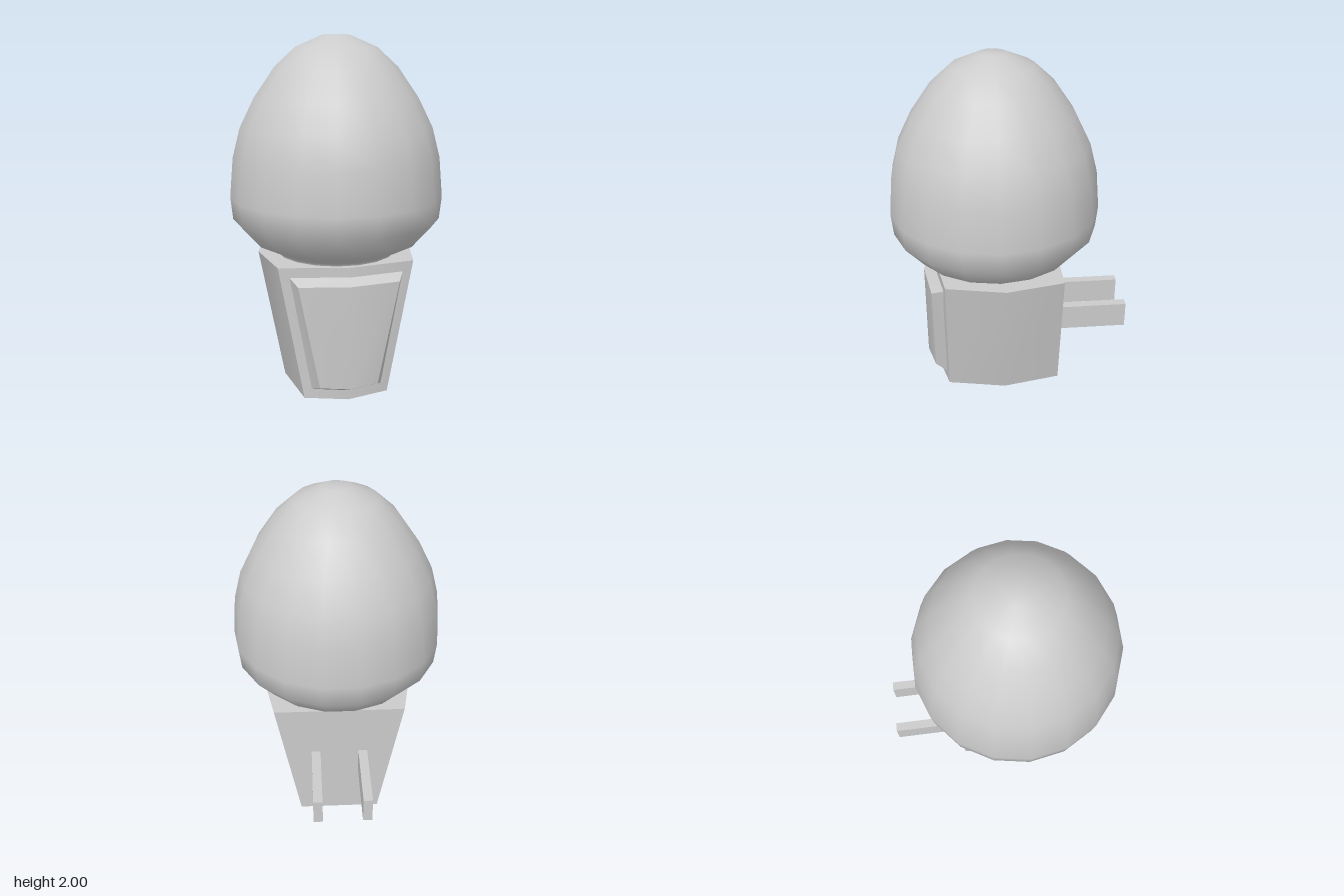
import * as THREE from 'three';
import { toCreasedNormals } from 'three/addons/utils/BufferGeometryUtils.js';

const material = new THREE.MeshStandardMaterial({ color: 0xcccccc });

function addMesh(group, name, geometry) {
  const mesh = new THREE.Mesh(geometry, material);
  mesh.name = name;
  group.add(mesh);
  return mesh;
}

// Solid between two matching rings, capped at both ends; gentle bends stay smooth
function loft(start, end) {
  const n = start.length;
  const index = [];
  for (let i = 0; i < n; i++) {
    const j = (i + 1) % n;
    index.push(i, j, n + j, i, n + j, n + i);
  }
  // Caps fan out from the second point
  for (let k = 1; k < n - 1; k++) {
    const p = (1 + k) % n, q = (2 + k) % n;
    index.push(n + 1, n + p, n + q, 1, q, p);
  }
  const geometry = new THREE.BufferGeometry();
  geometry.setAttribute('position', new THREE.Float32BufferAttribute([...start, ...end].flat(), 3));
  geometry.setIndex(index);
  return toCreasedNormals(geometry, 0.6);
}

// Plan of the plug body: flat back, bowed sides and bowed front
const bodyRing = (y, side, corner) => [
  [side, y, 0.06], [corner, y, -0.275], [-corner, y, -0.275], [-side, y, 0.06],
  [-corner, y, 0.4], [0, y, 0.465], [corner, y, 0.4],
];

// Bowed trapezoid outline of the front panel
const panelRing = (bottomX, bottomY, topX, topY, edgeZ, midZ) => [
  [-bottomX, bottomY, edgeZ], [0, bottomY, midZ], [bottomX, bottomY, edgeZ],
  [topX, topY, edgeZ], [0, topY, midZ], [-topX, topY, edgeZ],
];

export function createModel() {
  const group = new THREE.Group();
  group.name = 'nightLight';

  // Egg-shaped shade with a short neck
  const profile = [
    [0.34, 0.765], [0.34, 0.787], [0.48, 0.855], [0.592, 0.985], [0.605, 1.11],
    [0.585, 1.335], [0.542, 1.5], [0.46, 1.665], [0.345, 1.83], [0.23, 1.935],
    [0.08, 2], [0, 2],
  ].map(([r, y]) => new THREE.Vector2(r, y));
  const shade = addMesh(group, 'shade', new THREE.LatheGeometry(profile, 18, Math.PI / 2));
  shade.position.z = 0.095;

  // Tapered plug body
  addMesh(group, 'body', loft(bodyRing(0, 0.305, 0.24), bodyRing(0.775, 0.45, 0.38)));

  // Raised front panel with bevelled rim
  addMesh(group, 'frontPanel', loft(
    panelRing(0.2, 0.055, 0.318, 0.72, 0.408, 0.463),
    panelRing(0.165, 0.09, 0.282, 0.685, 0.48, 0.525),
  ));

  // Two flat prongs at the back
  for (const side of [-1, 1]) {
    const prong = addMesh(group, side > 0 ? 'leftProng' : 'rightProng',
      new THREE.BoxGeometry(0.053, 0.155, 0.435));
    prong.position.set(side * 0.141, 0.388, -0.477);
  }

  return group;
}
